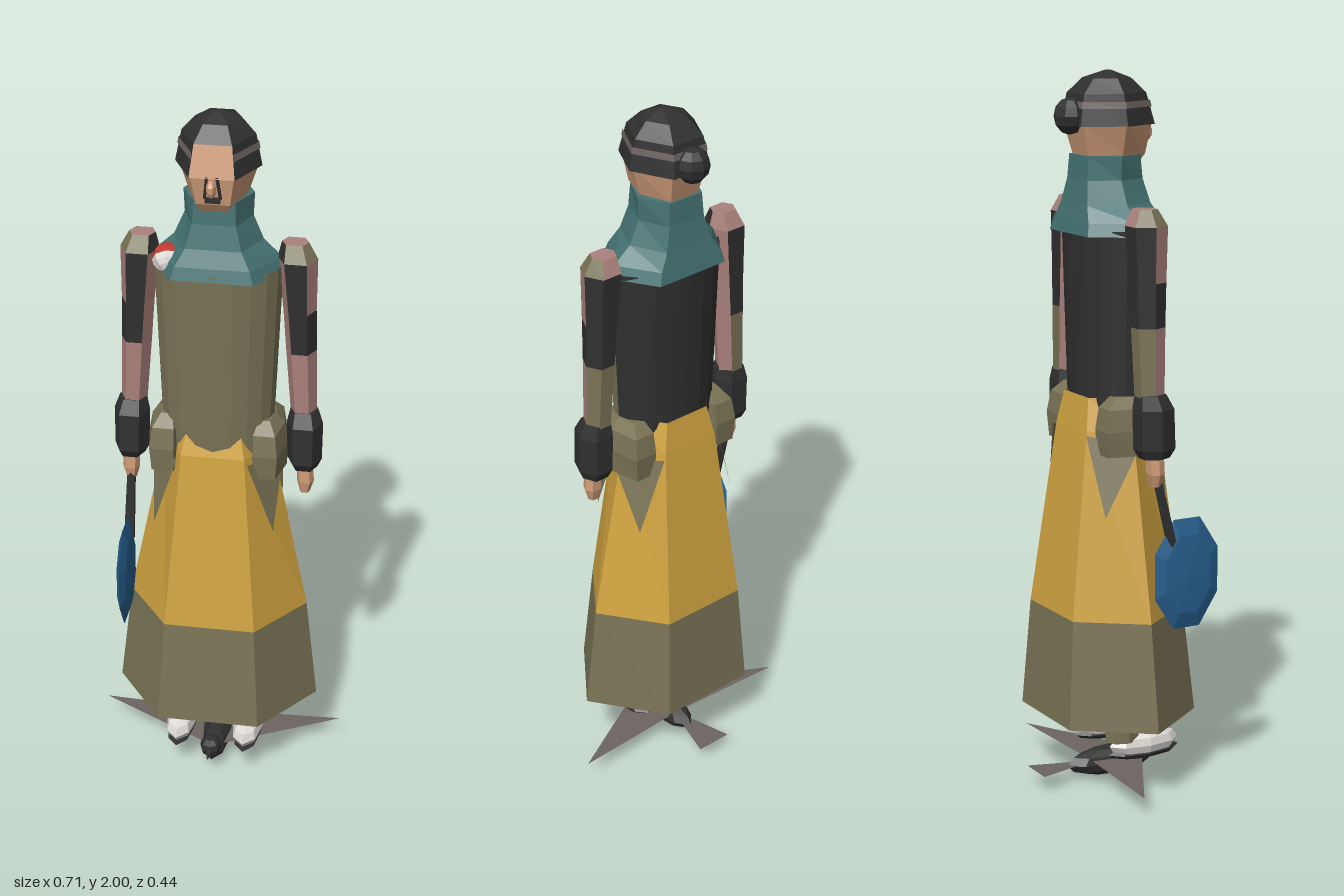
import * as THREE from 'three';

const mat = (name, color) => new THREE.MeshStandardMaterial({ name, color, flatShading: true, side: THREE.DoubleSide });
const olive = mat('olive cloth', 0x797355), gold = mat('gold cloth', 0xcfa340), teal = mat('teal scarf', 0x457272);
const black = mat('black cloth', 0x303030), skin = mat('skin', 0xcf9c78), pink = mat('dusty pink', 0xab827d);
const blue = mat('blue fan', 0x27608f), white = mat('white', 0xdedad6), red = mat('red', 0xc03a30), grey = mat('grey', 0x6d6461);

// Six-sided ring: y, half width at the side corners, half width of front and back edges, front z, back z, centre x
const hex = ([y, hx, fx, zf, zb, cx = 0]) => {
  const zm = (zf + zb) / 2;
  return [[hx, zm], [fx, zf], [-fx, zf], [-hx, zm], [-fx, zb], [fx, zb]].map(([x, z]) => [x + cx, y, z]);
};

// Skin a stack of hex rings from bottom to top; pick(side, level) gives the material index or -1 for none
function loft(rows, { pick = () => 0, caps = true, capMat = 0 } = {}) {
  const rings = rows.map(hex), pos = [], geo = new THREE.BufferGeometry();
  const add = (m, ...pts) => { geo.addGroup(pos.length / 3, pts.length, m); pts.forEach(p => pos.push(...p)); };
  for (let k = 0; k < rings.length - 1; k++) for (let i = 0; i < 6; i++) {
    const j = (i + 1) % 6, a = rings[k][i], b = rings[k][j], c = rings[k + 1][j], d = rings[k + 1][i], m = pick(i, k);
    if (m >= 0) add(m, a, d, c, a, c, b);
  }
  if (caps) for (let i = 1; i < 5; i++) {
    const t = rings[rings.length - 1], b = rings[0];
    add(capMat, t[0], t[i + 1], t[i]);
    add(0, b[0], b[i], b[i + 1]);
  }
  geo.setAttribute('position', new THREE.Float32BufferAttribute(pos, 3));
  geo.computeVertexNormals();
  return geo;
}

// Flat polygon from a few points
function plate(...pts) {
  const geo = new THREE.BufferGeometry(), pos = [];
  for (let i = 1; i < pts.length - 1; i++) pos.push(...pts[0], ...pts[i], ...pts[i + 1]);
  geo.setAttribute('position', new THREE.Float32BufferAttribute(pos, 3));
  geo.computeVertexNormals();
  return geo;
}

export function createModel() {
  const model = new THREE.Group();
  model.name = 'robedFigure';
  const part = (name, geo, material, p = [0, 0, 0], s = [1, 1, 1]) => {
    const m = new THREE.Mesh(geo, material);
    m.name = name;
    m.position.set(...p);
    m.scale.set(...s);
    model.add(m);
    return m;
  };
  const ball = (name, material, p, s, w = 8, h = 6) => part(name, new THREE.SphereGeometry(1, w, h), material, p, s);

  // Skirt: olive hem under a gold apron, open at the bottom
  part('skirtHem', loft([[0.205, 0.29, 0.145, 0.21, -0.19], [0.51, 0.255, 0.128, 0.18, -0.17]], { caps: false }), [olive]);
  part('skirt', loft([[0.51, 0.255, 0.128, 0.18, -0.17], [1.03, 0.15, 0.088, 0.118, -0.105], [1.12, 0.13, 0.07, 0.09, -0.09]],
    { caps: false }), [gold]);

  // Torso: olive front shell, black back shell
  const torso = (start) => new THREE.CylinderGeometry(0.175, 0.152, 0.56, 10, 1, true, start, Math.PI);
  part('torsoFront', torso(-Math.PI / 2), olive, [0, 1.3, 0.012], [1, 1, 0.66]);
  part('torsoBack', torso(Math.PI / 2), black, [0, 1.3, 0.012], [1, 1, 0.64]);

  // Scarf: flared collar
  part('scarf', loft([[1.565, 0.185, 0.11, 0.13, -0.112], [1.6, 0.17, 0.1, 0.12, -0.105], [1.645, 0.12, 0.075, 0.1, -0.095],
    [1.71, 0.092, 0.058, 0.085, -0.085], [1.775, 0.095, 0.055, 0.08, -0.08]]), [teal]);

  // Small two-tone ball on the right shoulder
  const half = (a) => new THREE.SphereGeometry(0.042, 8, 4, 0, Math.PI * 2, a, Math.PI / 2);
  [['shoulderBallRed', 0, red], ['shoulderBallWhite', Math.PI / 2, white]].forEach(([n, a, m]) => {
    part(n, half(a), m, [-0.13, 1.592, 0.05]).rotation.set(-0.9, 0, 0.2);
  });

  // Head, cap with an open forehead, band and bun
  part('face', loft([[1.745, 0.06, 0.035, 0.08, -0.06], [1.775, 0.078, 0.045, 0.1, -0.075],
    [1.865, 0.108, 0.058, 0.115, -0.098]]), [skin]);
  part('cap', loft([[1.855, 0.115, 0.06, 0.122, -0.106], [1.94, 0.098, 0.05, 0.1, -0.09], [1.98, 0.062, 0.032, 0.062, -0.052],
    [2, 0.012, 0.006, 0.016, 0.004]], { pick: (i, k) => (i === 1 && k === 0 ? 1 : 0) }), [black, skin]);
  part('capBand', loft([[1.902, 0.109, 0.056, 0.114, -0.1], [1.92, 0.106, 0.054, 0.11, -0.097]],
    { pick: i => (i === 1 ? -1 : 0), caps: false }), [grey]);
  ball('hairBun', black, [0, 1.88, -0.108], [0.047, 0.05, 0.044]);
  ball('nose', skin, [0, 1.83, 0.127], [0.014, 0.025, 0.02], 6, 5);
  part('mouth', new THREE.BoxGeometry(0.04, 0.016, 0.009), black, [0, 1.79, 0.105]);
  for (const s of [-1, 1])
    part('moustache', new THREE.BoxGeometry(0.007, 0.065, 0.009), black, [s * 0.017, 1.828, 0.112]).rotation.set(0.17, 0, s * 0.12);

  for (const s of [-1, 1]) {
    const flip = i => (s > 0 ? i : [2, 1, 0, 5, 4, 3][i]);

    // Sleeve in patches: rows are sides outer front, front, inner front, inner back, back, outer back
    const patches = [[1, 1, 1, 1, 2, 2], [0, 0, 1, 1, 0, 0], [1, 0, 1, 1, 0, 0], [2, 2, 0, 1, 1, 2]];
    part('sleeve', loft([[1.11, 0.035, 0.018, 0.042, -0.028, s * 0.237], [1.33, 0.042, 0.022, 0.048, -0.033, s * 0.226],
      [1.45, 0.045, 0.025, 0.052, -0.035, s * 0.22], [1.6, 0.054, 0.03, 0.058, -0.04, s * 0.212],
      [1.645, 0.036, 0.022, 0.035, -0.02, s * 0.205]], { pick: (i, k) => patches[k][flip(i)], capMat: 1 }), [black, pink, olive]);
    part('cuff', loft([[0.975, 0.036, 0.02, 0.055, -0.02, s * 0.243], [1.0, 0.048, 0.026, 0.07, -0.032, s * 0.242],
      [1.11, 0.05, 0.028, 0.065, -0.033, s * 0.241], [1.15, 0.038, 0.022, 0.045, -0.028, s * 0.238]]), [black]);
    part('hand', loft([[0.895, 0.014, 0.008, 0.035, 0.008, s * 0.245], [0.93, 0.024, 0.014, 0.042, 0, s * 0.246],
      [0.985, 0.022, 0.014, 0.04, 0, s * 0.243]]), [skin]);

    // Hip sash: puffed top with two hanging points
    part('hipSash', loft([[0.97, 0.05, 0.03, 0.105, -0.085, s * 0.142], [1.04, 0.052, 0.034, 0.11, -0.09, s * 0.143],
      [1.1, 0.045, 0.03, 0.1, -0.08, s * 0.14], [1.13, 0.025, 0.016, 0.065, -0.05, s * 0.135]]), [olive]);
    for (const [zf, zp] of [[0.128, 0.1], [-0.112, -0.09]])
      part('sashPoint', plate([s * 0.098, 1.02, zf], [s * 0.182, 1.0, 0.012], [s * 0.168, 0.8, zp]), olive);

    // Leg and shoe
    part('leg', new THREE.CylinderGeometry(0.046, 0.042, 0.5, 8), olive, [s * 0.092, 0.38, 0.005], [1, 1, 1.25]);
    ball('shoe', white, [s * 0.098, 0.115, 0.072], [0.045, 0.042, 0.11]);
    ball('shoeSole', black, [s * 0.098, 0.09, 0.072], [0.04, 0.02, 0.112]);

    // Creature wing, flat
    part('wing', plate([s * 0.03, 0.055, 0.105], [s * 0.03, 0.055, -0.056], [s * 0.354, 0.055, -0.072]), grey);
  }

  // Round fan hanging from the right hand
  const fan = new THREE.SphereGeometry(1, 8, 4).rotateX(Math.PI / 2).rotateZ(Math.PI / 8).rotateY(Math.PI / 2);
  part('fan', fan, blue, [-0.247, 0.64, 0.12], [0.018, 0.168, 0.108]);
  part('fanHandle', new THREE.CylinderGeometry(0.012, 0.016, 0.24, 6), black, [-0.245, 0.84, 0.045]).rotation.x = -0.25;

  // Small dark creature at the feet
  ball('creatureBody', black, [0, 0.042, 0.022], [0.045, 0.042, 0.142]);
  ball('creatureHead', black, [0, 0.075, 0.145], [0.032, 0.032, 0.04]);
  part('creatureBeak', new THREE.ConeGeometry(0.012, 0.045, 5), black, [0, 0.073, 0.195]).rotation.x = Math.PI / 2;
  part('creatureTail', plate([-0.016, 0.045, -0.09], [0.016, 0.045, -0.09], [0.053, 0.045, -0.222], [-0.053, 0.045, -0.222]), grey);

  return model;
}
